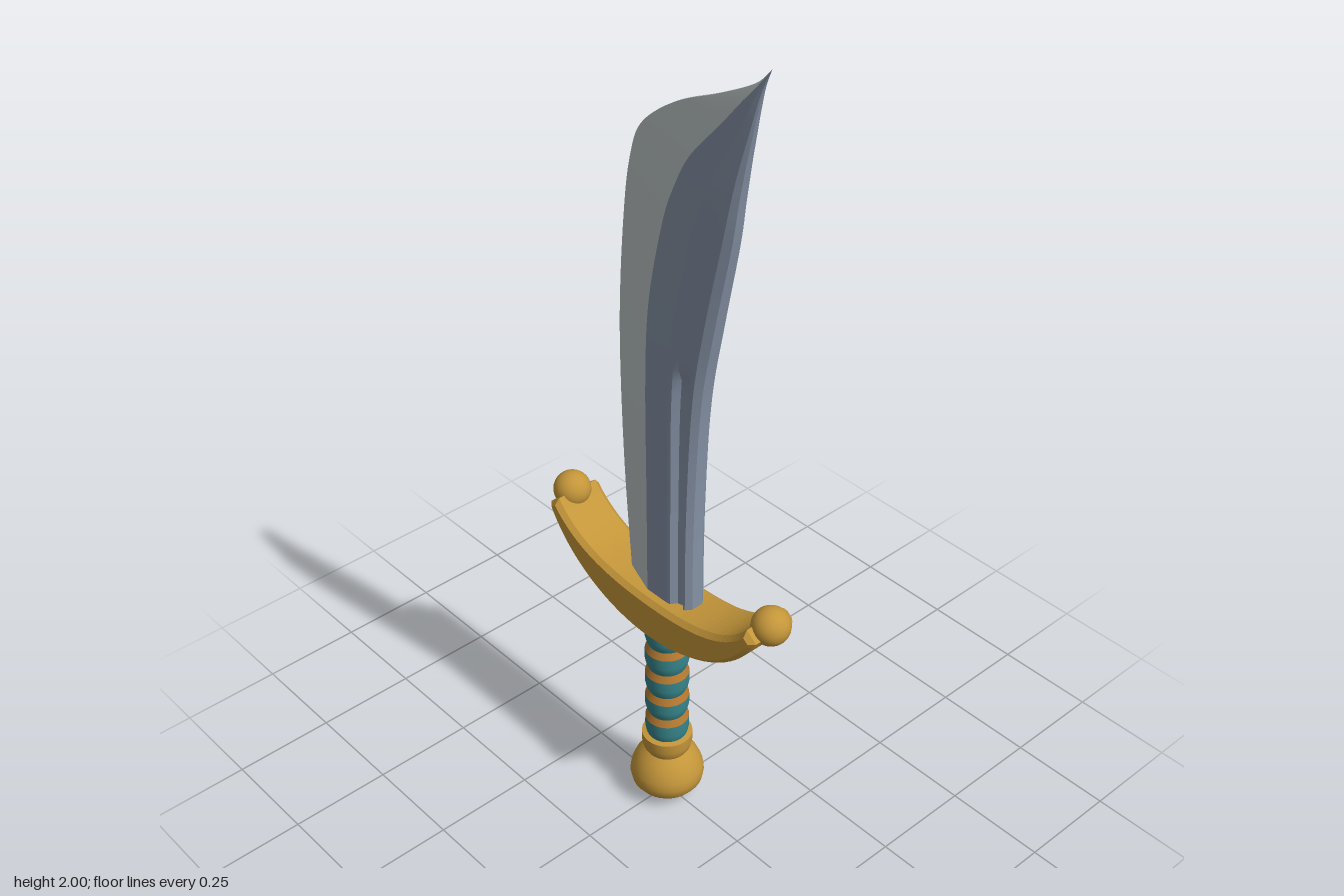
import * as THREE from 'three';
import { mergeGeometries } from 'three/addons/utils/BufferGeometryUtils.js';

const paint = (name, color) => {
  const m = new THREE.MeshStandardMaterial({ color });
  m.name = name;
  return m;
};

// Blade stations: height, edge x, first ridge x, second ridge x, spine x, half thickness
const STATIONS = [
  [0.58, -0.106, -0.026, 0.042, 0.100, 0.037],
  [0.90, -0.130, -0.027, 0.042, 0.103, 0.037],
  [1.20, -0.140, -0.028, 0.043, 0.122, 0.037],
  [1.40, -0.135, -0.018, 0.060, 0.157, 0.035],
  [1.60, -0.118, 0.020, 0.100, 0.198, 0.030],
  [1.70, -0.100, 0.055, 0.138, 0.213, 0.026],
  [1.76, -0.078, 0.085, 0.160, 0.223, 0.022],
  [1.81, -0.030, 0.125, 0.185, 0.232, 0.018],
  [1.86, 0.045, 0.168, 0.212, 0.242, 0.014],
  [1.91, 0.150, 0.208, 0.235, 0.252, 0.010],
  [1.96, 0.240, 0.250, 0.256, 0.264, 0.005],
  [2.00, 0.280, 0.280, 0.280, 0.280, 0.000],
];

// One closed cross-section: front face from edge to spine, then the back mirrored
function bladeSection([y, edge, r1, r2, spine, h]) {
  const cx = spine - 0.18 * (spine - r2), cz = 0.76 * h;
  const depth = y < 1.265 ? 0.013 : 0;
  const groove = (t, d) => [r2 + (cx - r2) * t, h + (cz - h) * t - d];
  const front = [
    [edge, 0.27 * h], [r1, h], [r2, h],
    groove(0.15, 0), groove(0.35, depth), groove(0.7, depth), groove(0.9, 0),
    [cx, cz], [spine, 0.4 * h],
  ];
  const back = front.map(([x, z]) => [x, -z]).reverse();
  return [...front, ...back].map(([x, z]) => [x, y, z]);
}

// Lengthwise strips keep the ridges sharp and the length smooth
function bladeStrips(sections, wanted) {
  const n = sections[0].length;
  const strips = [];
  for (let j = 0; j < n; j++) {
    if (!wanted(j, n)) continue;
    const pos = [], index = [];
    sections.forEach((s, i) => {
      pos.push(...s[j], ...s[(j + 1) % n]);
      if (i === 0) return;
      const a = 2 * (i - 1);
      index.push(a, a + 1, a + 3, a, a + 3, a + 2);
    });
    const g = new THREE.BufferGeometry();
    g.setAttribute('position', new THREE.Float32BufferAttribute(pos, 3));
    g.setIndex(index);
    g.computeVertexNormals();
    strips.push(g);
  }
  return mergeGeometries(strips);
}

// Lathe from [radius, height] pairs, bottom to top
const lathe = (pts) => new THREE.LatheGeometry(pts.map(([r, y]) => new THREE.Vector2(r, y)), 32);

export function createModel() {
  const model = new THREE.Group();
  const gold = paint('gold', 0xc4963a);
  const bronze = paint('bronze', 0xb5792f);
  const teal = paint('teal', 0x37868c);
  const steel = paint('steel', 0x8592a5);
  const brightSteel = paint('bright steel', 0xbac2c3);

  const add = (name, geometry, material) => {
    const mesh = new THREE.Mesh(geometry, material);
    mesh.name = name;
    model.add(mesh);
    return mesh;
  };

  // Blade: splines through the stations, all sharing the same heights
  const lines = [1, 2, 3, 4, 5].map((k) => new THREE.CatmullRomCurve3(
    STATIONS.map((s) => new THREE.Vector3(s[k], s[0], 0)), false, 'catmullrom', 0.5));
  const sections = [];
  const STEPS = 66;
  for (let i = 0; i <= STEPS; i++) {
    const p = lines.map((c) => c.getPoint(i / STEPS));
    sections.push(bladeSection([p[0].y, ...p.map((v) => v.x)]));
  }
  const isEdge = (j, n) => j === 0 || j >= n - 2;
  add('bladeBody', bladeStrips(sections, (j, n) => !isEdge(j, n)), steel);
  add('cuttingEdge', bladeStrips(sections, isEdge), brightSteel);

  // Crescent guard with chamfered rims
  const crescent = new THREE.Shape();
  crescent.moveTo(-0.344, 0.715);
  crescent.bezierCurveTo(-0.28, 0.59, -0.14, 0.52, 0, 0.52);
  crescent.bezierCurveTo(0.14, 0.52, 0.28, 0.59, 0.344, 0.715);
  crescent.lineTo(0.315, 0.738);
  crescent.bezierCurveTo(0.25, 0.655, 0.14, 0.632, 0, 0.632);
  crescent.bezierCurveTo(-0.14, 0.632, -0.25, 0.655, -0.315, 0.738);
  crescent.closePath();
  const guard = new THREE.ExtrudeGeometry(crescent, {
    depth: 0.11, curveSegments: 20, bevelEnabled: true,
    bevelThickness: 0.012, bevelSize: 0.011, bevelOffset: -0.011, bevelSegments: 1,
  });
  guard.translate(0, 0, -0.055);
  add('guard', guard, gold);

  // Balls on the guard tips
  for (const side of [-1, 1]) {
    const ball = add(side > 0 ? 'leftGuardBall' : 'rightGuardBall',
      new THREE.SphereGeometry(0.045, 24, 16), gold);
    ball.position.set(side * 0.333, 0.73, 0);
  }

  // Grip: bulging wraps, each with a bronze band on its upper shoulder
  const tops = [0.54, 0.471, 0.4, 0.329, 0.26];
  tops.forEach((top, i) => {
    const bottom = i < 4 ? tops[i + 1] : 0.185;
    const shoulder = top - 0.018;
    add('gripWrap', lathe([
      [0.045, bottom], [0.05, bottom + 0.012], [0.053, (bottom + shoulder) / 2], [0.0525, shoulder],
    ]), teal);
    add('gripBand', lathe([[0.0525, shoulder], [0.045, top]]), i ? bronze : teal);
  });

  // Pommel: collar, bulb and bottom cap
  add('pommelCollar', lathe([[0.051, 0.137], [0.057, 0.147], [0.061, 0.165], [0.061, 0.19]]), gold);
  add('pommelCollarTop', lathe([[0.061, 0.19], [0.04, 0.194]]), gold);
  add('pommelBulb', lathe([
    [0.075, 0.03], [0.086, 0.045], [0.09, 0.065], [0.087, 0.085],
    [0.078, 0.107], [0.065, 0.126], [0.051, 0.139],
  ]), gold);
  add('pommelCap', lathe([[0, 0], [0.035, 0.004], [0.06, 0.015], [0.075, 0.03]]), gold);

  return model;
}
